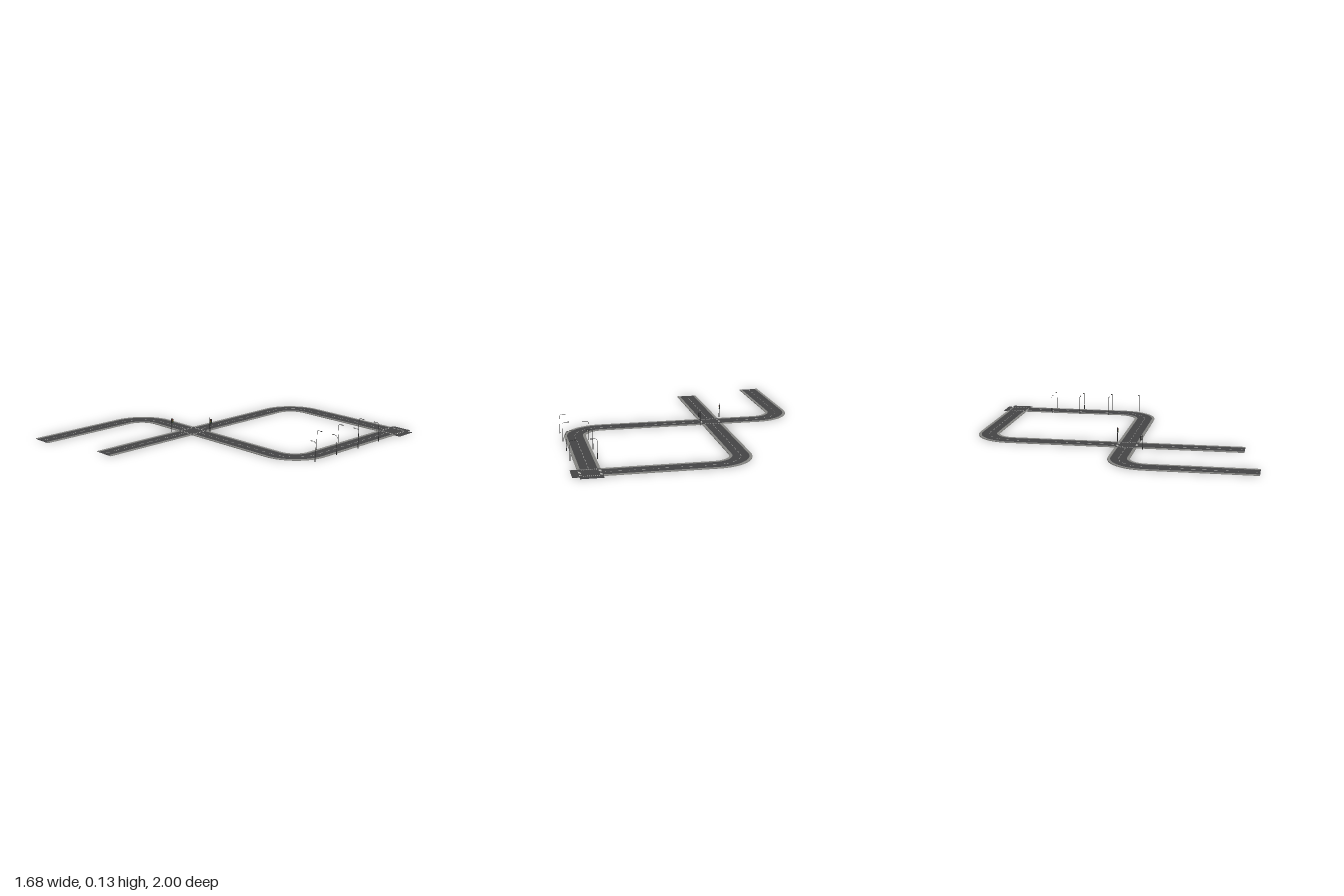
import * as THREE from 'three';

const HALF = 0.0715, LANE = 0.053, ROAD_TOP = 0.003, WALK_TOP = 0.005;
const mat = (color) => new THREE.MeshStandardMaterial({ color });
const asphalt = mat(0x444446), concrete = mat(0x868683), paint = mat(0xb8b8b4);
const metal = mat(0x2c2c2c), glow = mat(0xd8d4bc);

function add(parent, name, geometry, material, x = 0, y = 0, z = 0) {
  const mesh = new THREE.Mesh(geometry, material);
  mesh.name = name;
  mesh.position.set(x, y, z);
  parent.add(mesh);
  return mesh;
}

// Box with its underside at y
function slab(parent, name, material, x, y, z, w, h, d) {
  return add(parent, name, new THREE.BoxGeometry(w, h, d), material, x, y + h / 2, z);
}

// Plan points are (x, -z); extruded strips are laid flat afterwards
function offsetLine(points, distance) {
  return points.map((p, i) => {
    const a = points[Math.max(i - 1, 0)], b = points[Math.min(i + 1, points.length - 1)];
    const t = b.clone().sub(a).normalize();
    return new THREE.Vector2(p.x - t.y * distance, p.y + t.x * distance);
  });
}

function strip(points, from, to, height) {
  const outline = [...offsetLine(points, from), ...offsetLine(points, to).reverse()];
  const geo = new THREE.ExtrudeGeometry(new THREE.Shape(outline), { depth: height, bevelEnabled: false });
  return geo.rotateX(-Math.PI / 2);
}

// Road with raised pavements and a dashed centre line
function road(name, path) {
  const group = new THREE.Group();
  group.name = name;
  const points = path.getPoints(20).filter((p, i, all) => i === 0 || p.distanceTo(all[i - 1]) > 1e-4);
  add(group, 'asphalt', strip(points, -LANE, LANE, ROAD_TOP), asphalt);
  add(group, 'leftPavement', strip(points, LANE, HALF, WALK_TOP), concrete);
  add(group, 'rightPavement', strip(points, -HALF, -LANE, WALK_TOP), concrete);
  const length = path.getLength(), count = Math.max(1, Math.round(length / 0.073));
  for (let i = 0; i < count; i++) {
    const u = (i + 0.5) / count, p = path.getPointAt(u), t = path.getTangentAt(u);
    const dash = slab(group, 'laneDash', paint, p.x, ROAD_TOP, -p.y, 0.038, 0.0004, 0.003);
    dash.rotation.y = Math.atan2(t.y, t.x);
  }
  return group;
}

// Junction square with a striped crossing on every side
function junction(name, x, z) {
  const group = new THREE.Group();
  group.name = name;
  group.position.set(x, 0, z);
  slab(group, 'junctionAsphalt', asphalt, 0, 0, 0, HALF * 2, ROAD_TOP, HALF * 2);
  for (let side = 0; side < 4; side++) {
    const crossing = new THREE.Group();
    crossing.name = 'crossing';
    crossing.rotation.y = side * Math.PI / 2;
    for (let i = -4; i <= 4; i++) {
      slab(crossing, 'crossingStripe', paint, 0.063, ROAD_TOP, i * 0.0115, 0.015, 0.0004, 0.0045);
    }
    group.add(crossing);
  }
  return group;
}

// Street lamp whose arm reaches along local +x
function streetLamp(x, z, turn) {
  const lamp = new THREE.Group();
  lamp.name = 'streetLamp';
  lamp.position.set(x, 0, z);
  lamp.rotation.y = turn;
  add(lamp, 'lampBase', new THREE.CylinderGeometry(0.0025, 0.003, 0.038, 8), metal, 0, 0.019, 0);
  const bend = new THREE.CurvePath();
  const v = (a, b) => new THREE.Vector3(a, b, 0);
  bend.add(new THREE.LineCurve3(v(0, 0), v(0, 0.116)));
  bend.add(new THREE.QuadraticBezierCurve3(v(0, 0.116), v(0, 0.129), v(0.013, 0.13)));
  bend.add(new THREE.LineCurve3(v(0.013, 0.13), v(0.03, 0.131)));
  add(lamp, 'lampPole', new THREE.TubeGeometry(bend, 40, 0.0013, 6), metal);
  slab(lamp, 'lampHead', metal, 0.035, 0.129, 0, 0.014, 0.003, 0.005);
  slab(lamp, 'lampGlass', glow, 0.035, 0.1282, 0, 0.01, 0.001, 0.004);
  return lamp;
}

// Traffic light whose signal box hangs on local +x
function trafficLight(x, z, turn) {
  const light = new THREE.Group();
  light.name = 'trafficLight';
  light.position.set(x, 0, z);
  light.rotation.y = turn;
  add(light, 'signalPole', new THREE.CylinderGeometry(0.0017, 0.0022, 0.1, 8), metal, 0, 0.05, 0);
  for (const y of [0.068, 0.085]) slab(light, 'signalBracket', metal, 0.005, y, 0, 0.01, 0.002, 0.002);
  slab(light, 'signalBox', metal, 0.012, 0.062, 0, 0.009, 0.029, 0.007);
  [0x3a8a4a, 0xc8a030, 0xb03a30].forEach((color, i) => {
    const lens = add(light, 'signalLens', new THREE.CylinderGeometry(0.003, 0.003, 0.002, 10),
      mat(color), 0.012, 0.067 + i * 0.0095, 0.004);
    lens.rotation.x = Math.PI / 2;
  });
  return light;
}

export function createModel() {
  const model = new THREE.Group();
  model.name = 'roadNetwork';
  const left = -0.77, mid = -0.242, right = 0.728;   // x of the lengthwise roads
  const front = 0.104, back = -0.896, R = 0.2;        // z of the cross roads, bend radius
  const path = () => new THREE.Path();

  model.add(road('leftBendRoad', path().moveTo(left, -1).lineTo(left, -front - R)
    .absarc(left + R, -front - R, R, Math.PI, Math.PI / 2, true).lineTo(mid - HALF, -front)));
  model.add(road('frontRoad', path().moveTo(mid, -0.88).lineTo(mid, -front - HALF)));
  model.add(road('backBendRoad', path().moveTo(mid, -front + HALF).lineTo(mid, -back - R)
    .absarc(mid + R, -back - R, R, Math.PI, Math.PI / 2, true).lineTo(right - HALF, -back)));
  model.add(road('rightBendRoad', path().moveTo(mid + HALF, -front).lineTo(right - R, -front)
    .absarc(right - R, -front + R, R, -Math.PI / 2, 0, false).lineTo(right, -back - HALF)));

  model.add(junction('frontJunction', mid, front), junction('backJunction', right, back));

  // Short open ends of the back junction
  const backEdge = back - HALF, sideEdge = right + HALF;
  slab(model, 'backStub', asphalt, right, 0, (backEdge - 1) / 2, HALF * 2, ROAD_TOP, 1 + backEdge);
  slab(model, 'sideStub', asphalt, (sideEdge + 0.842) / 2, 0, back, 0.842 - sideEdge, ROAD_TOP, HALF * 2);

  // Lamps on both sides of the right road
  for (const z of [-0.62, -0.405, -0.187]) model.add(streetLamp(0.648, z, 0));
  for (const z of [-0.62, -0.405, -0.187, 0.022]) model.add(streetLamp(0.818, z, Math.PI));

  model.add(trafficLight(-0.337, 0.22, Math.PI / 2), trafficLight(-0.154, 0.022, 0));
  return model;
}
